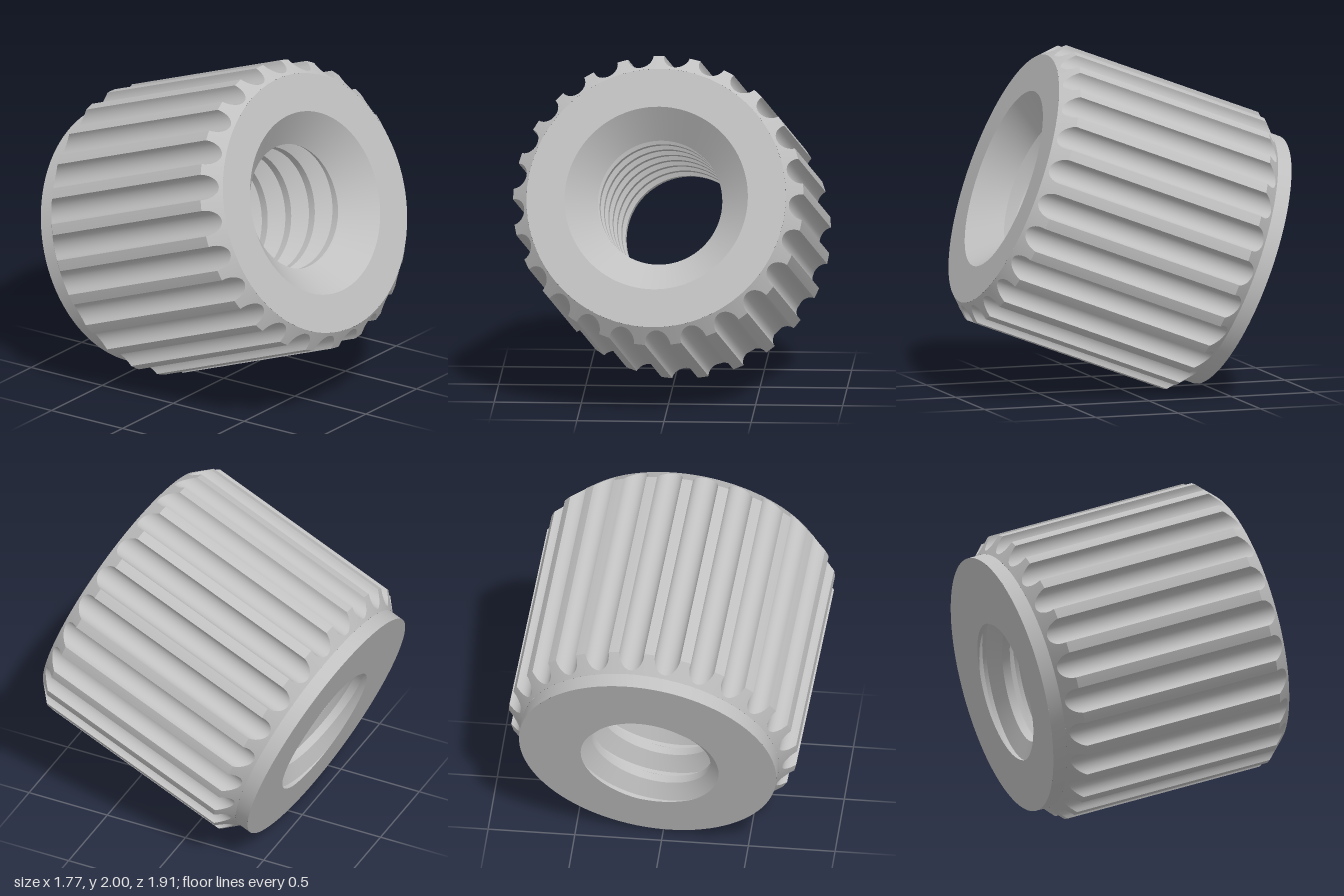
import * as THREE from 'three';
import { toCreasedNormals } from 'three/addons/utils/BufferGeometryUtils.js';

const LENGTH = 1.47, RIM = 0.75, OUTER = 0.84, BORE = 0.36, FLANGE = 0.085, SINK = 0.17;

// Crease at a larger scale so small features are kept apart
function crease(geometry, angle = 0.5) {
  geometry.scale(100, 100, 100);
  const result = toCreasedNormals(geometry, angle);
  result.scale(0.01, 0.01, 0.01);
  return result;
}

// Skin a list of equally long rows of [x, y, z] points
function skin(rows, inward = false) {
  const n = rows[0].length, index = [];
  for (let j = 0; j < rows.length - 1; j++) {
    for (let i = 0; i < n - 1; i++) {
      const a = j * n + i, b = a + 1, c = b + n, d = a + n;
      if (inward) index.push(a, c, b, a, d, c);
      else index.push(a, b, c, a, c, d);
    }
  }
  const g = new THREE.BufferGeometry();
  g.setAttribute('position', new THREE.Float32BufferAttribute(rows.flat(2), 3));
  g.setIndex(index);
  return crease(g);
}

// Fluted grip: round grooves that run out through the chamfers at both ends
function gripGeometry() {
  const count = 25, radius = 0.074, steps = 14, landSteps = 4;
  const start = -Math.PI / 2 + THREE.MathUtils.degToRad(2.6);
  const pitch = Math.PI * 2 / count;
  const limit = Math.PI / 2 - radius / OUTER / 2;
  const half = 2 * Math.asin(radius / 2 / OUTER);
  const section = [];
  for (let k = 0; k < count; k++) {
    const mid = start + k * pitch;
    for (let i = 0; i <= steps; i++) {
      const a = limit * (2 * i / steps - 1);
      const u = OUTER - radius * Math.cos(a), v = radius * Math.sin(a);
      section.push([Math.hypot(u, v), mid + Math.atan2(v, u)]);
    }
    for (let i = 1; i < landSteps; i++) {
      section.push([OUTER, mid + half + (pitch - 2 * half) * i / landSteps]);
    }
  }
  section.push(section[0]);
  const ring = (radiusAt, zAt) => section.map(([r, a]) =>
    [radiusAt(r) * Math.cos(a), radiusAt(r) * Math.sin(a), zAt(r)]);
  return skin([
    ring(() => RIM, () => FLANGE),
    ring(r => r, r => FLANGE + (r - RIM)),
    ring(r => r, r => LENGTH - (r - RIM) * 1.05),
    ring(() => RIM, () => LENGTH),
  ]);
}

// V-shaped screw thread: radius at a turn and height
const PITCH = 0.19, DEPTH = 0.097, SEGMENTS = 96;
const THREAD_START = THREE.MathUtils.degToRad(-100);
function threadRadius(turn, z) {
  const phase = z / PITCH - turn;
  const d = Math.abs(phase - Math.round(phase));
  return BORE + DEPTH * THREE.MathUtils.clamp((0.375 - d) / 0.3125, 0, 1);
}

// One row around the axis; radius and height depend on the turn from 0 to 1
function around(radiusAt, zAt) {
  return Array.from({ length: SEGMENTS + 1 }, (_, i) => {
    const turn = i / SEGMENTS, a = THREAD_START + turn * Math.PI * 2;
    const z = zAt(turn), r = radiusAt(turn, z);
    return [r * Math.cos(a), r * Math.sin(a), z];
  });
}

// Threaded bore: rows follow the helix, cut off at both ends
function threadGeometry() {
  const top = LENGTH - SINK, rows = [];
  for (let k = -2; k <= Math.ceil(top / PITCH) + 1; k++) {
    for (const edge of [-0.375, -0.0625, 0.0625, 0.375]) {
      rows.push(around(threadRadius,
        turn => THREE.MathUtils.clamp(PITCH * (k + edge + turn), 0, top)));
    }
  }
  rows.push(around(() => BORE, () => top));
  return skin(rows, true);
}

// Back face, whose opening is where the thread runs out
function backFaceGeometry() {
  return skin([around(() => RIM, () => 0), around(threadRadius, () => 0)], true);
}

function latheGeometry(points) {
  const g = new THREE.LatheGeometry(points.map(p => new THREE.Vector2(...p)), SEGMENTS);
  g.rotateX(Math.PI / 2);
  return crease(g);
}

export function createModel() {
  const steel = new THREE.MeshStandardMaterial({ color: 0xc0c0c0 });
  steel.name = 'light grey metal';
  const insert = new THREE.Group();
  insert.name = 'threadedInsert';
  const add = (name, geometry) => {
    const mesh = new THREE.Mesh(geometry, steel);
    mesh.name = name;
    mesh.position.z = -LENGTH / 2;
    insert.add(mesh);
  };

  add('flutedGrip', gripGeometry());
  add('threadedBore', threadGeometry());
  add('backFace', backFaceGeometry());
  add('flangeEdge', latheGeometry([[RIM, 0], [RIM, FLANGE]]));
  // Front face with countersink
  add('frontFace', latheGeometry([[RIM, LENGTH], [0.53, LENGTH], [BORE, LENGTH - SINK]]));

  // Tilt the axis upwards and slightly sideways
  const axis = new THREE.Vector3(-0.083, 0.354, 0.932).normalize();
  const side = new THREE.Vector3(0, 1, 0).cross(axis).normalize();
  const up = axis.clone().cross(side);
  insert.quaternion.setFromRotationMatrix(new THREE.Matrix4().makeBasis(side, up, axis));
  insert.position.set(0, 0.987, 0.001);

  const model = new THREE.Group();
  model.name = 'model';
  model.add(insert);
  return model;
}
